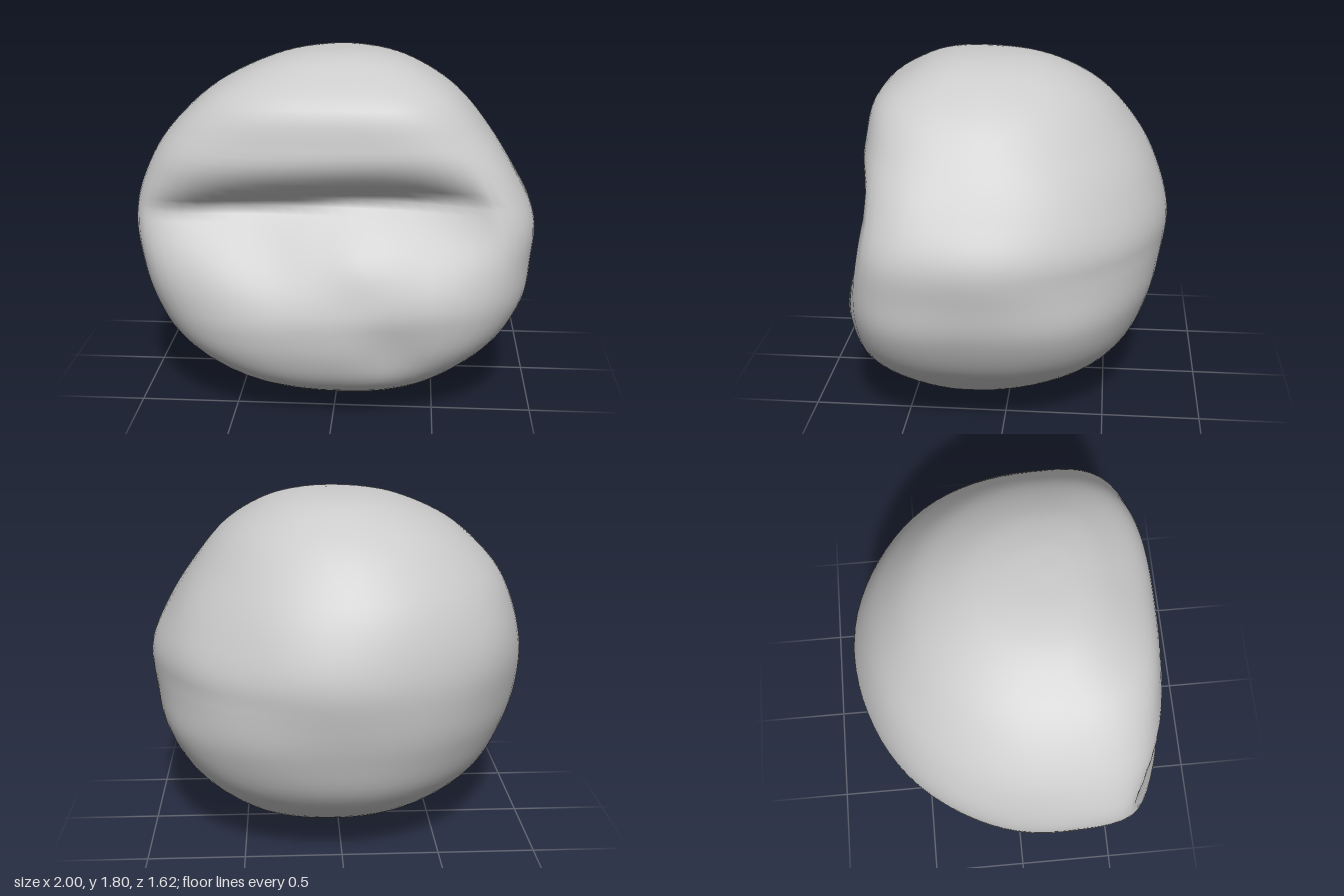
import * as THREE from 'three';

const RINGS = 72, SEGS = 80;

// Cross-section rows from bottom to top: y, min x, max x, front z, back z
const rows = [
  [0, 0.05, 0.05, 0.2, 0.2], [0.015, -0.13, 0.2, 0.35, 0],
  [0.07, -0.32, 0.42, 0.49, -0.18], [0.2, -0.6, 0.62, 0.7, -0.47],
  [0.38, -0.82, 0.82, 0.79, -0.65], [0.6, -0.935, 0.945, 0.81, -0.74],
  [0.8, -0.985, 0.98, 0.81, -0.785], [1.0, -1, 0.99, 0.78, -0.805],
  [1.2, -0.955, 0.9, 0.75, -0.755], [1.4, -0.85, 0.77, 0.73, -0.65],
  [1.6, -0.64, 0.6, 0.68, -0.48], [1.73, -0.39, 0.4, 0.5, -0.27],
  [1.785, -0.18, 0.22, 0.35, -0.07], [1.8, 0.05, 0.05, 0.2, 0.2],
];
const curve = (pick) => new THREE.CatmullRomCurve3(
  rows.map((r) => new THREE.Vector3(...pick(r))), false, 'catmullrom', 0.5);
const leftFront = curve((r) => [r[1], r[0], r[3]]);
const rightBack = curve((r) => [r[2], r[0], r[4]]);

// Mouth fold: rolled upper lip, long sloping lower bowl
function dent(side, x, y) {
  const h = y - (1.11 + 0.06 * x);
  const f = h > 0 ? Math.max(0, 1 - h / 0.27) ** 2 : Math.max(0, 1 + h / 0.55) ** 1.3;
  return 0.25 * f * Math.max(0, 1 - (Math.abs(side + 0.06) / 0.9) ** 3);
}

// Shallow front hollows and swellings: x, y, radius, depth
const hollows = [[0.3, 0.4, 0.16, 0.045], [-0.3, 0.85, 0.15, 0.02], [0.12, 0.85, 0.13, -0.02],
  [0.5, 0.68, 0.14, -0.015], [-0.55, 0.7, 0.16, -0.015]];
const hollow = (x, y) => hollows.reduce((sum, [hx, hy, r, d]) =>
  sum + d * Math.exp(-((x - hx) ** 2 + (y - hy) ** 2) / (r * r)), 0);

// Gentle unevenness of the soft skin
const lumps = (x, y, z) => 0.004 * (Math.sin(6 * x + 3 * y + 1) * Math.sin(5 * z - 4 * y)
  + Math.sin(9 * y - 4 * x) * Math.cos(7 * z + 3 * x));

function bodyPoint(u, a) {
  const lf = leftFront.getPoint(u), rb = rightBack.getPoint(u);
  const c = Math.cos(a), s = Math.sin(a), zc = 0.2, y = lf.y;
  // Round at the back, squarer at the front, softer towards both ends
  const wave = Math.max(0, Math.sin(Math.PI * u));
  const n = s > 0
    ? 2 + (c < 0 ? 1.5 : 1.7) * wave ** (u < 0.5 ? 2.2 : 1.3)
    : 2.05 + (c > 0 && u < 0.5 ? 0.4 * Math.sin(2 * Math.PI * u) : 0);
  const r = (Math.abs(c) ** n + Math.abs(s) ** n) ** (-1 / n);
  const x = (lf.x + rb.x) / 2 + ((rb.x - lf.x) / 2) * c * r;
  let z = zc + s * r * (s > 0 ? lf.z - zc : zc - rb.z);
  if (s > 0) z -= dent(c * r, x, y) + hollow(x, y) * s * wave;
  const k = 1 + lumps(x, y, z) * wave;
  return [x * k, y, z * k];
}

function bodyGeometry() {
  const pos = [...bodyPoint(0, 0)], idx = [];
  for (let i = 1; i < RINGS; i++)
    for (let j = 0; j < SEGS; j++) pos.push(...bodyPoint(i / RINGS, (j / SEGS) * Math.PI * 2));
  pos.push(...bodyPoint(1, 0));
  const top = pos.length / 3 - 1;
  const at = (i, j) => (i === 0 ? 0 : i === RINGS ? top : 1 + (i - 1) * SEGS + (j % SEGS));
  for (let i = 0; i < RINGS; i++)
    for (let j = 0; j < SEGS; j++) {
      const a = at(i, j), b = at(i, j + 1), c = at(i + 1, j + 1), d = at(i + 1, j);
      if (i > 0) idx.push(a, c, b);
      if (i < RINGS - 1) idx.push(a, d, c);
    }
  const g = new THREE.BufferGeometry();
  g.setAttribute('position', new THREE.Float32BufferAttribute(pos, 3));
  g.setIndex(idx);
  g.computeVertexNormals();
  return g;
}

export function createModel() {
  const group = new THREE.Group();
  group.name = 'softBall';
  const body = new THREE.Mesh(bodyGeometry(), new THREE.MeshStandardMaterial({ color: 0xcccccc }));
  body.name = 'foldedBody';
  group.add(body);
  return group;
}
